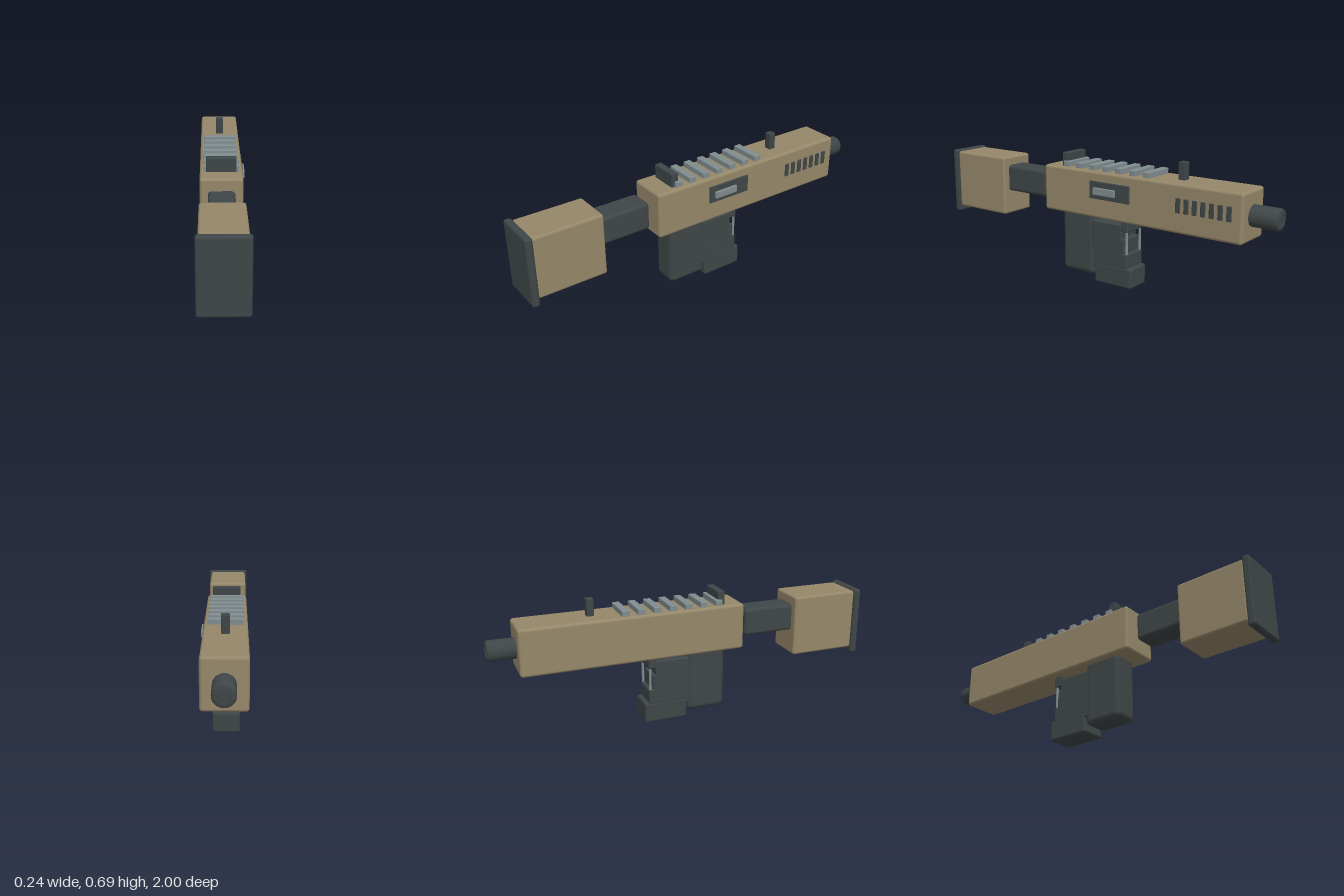
import * as THREE from 'three';
import { RoundedBoxGeometry } from 'three/addons/geometries/RoundedBoxGeometry.js';
import { toCreasedNormals } from 'three/addons/utils/BufferGeometryUtils.js';

const material = (name, color) => {
  const m = new THREE.MeshStandardMaterial({ color });
  m.name = name;
  return m;
};

export function createModel() {
  const model = new THREE.Group();
  model.name = 'toyBlaster';
  const tan = material('tan', 0x958769);
  const dark = material('charcoal', 0x3f4647);
  const grey = material('grey', 0x808c8f);
  const CX = -0.006; // centre line of the body

  const add = (name, geometry, mat, x, y, z) => {
    const mesh = new THREE.Mesh(geometry, mat);
    mesh.name = name;
    mesh.position.set(x, y, z);
    model.add(mesh);
    return mesh;
  };
  // Rounded box given by its width and its y and z limits
  const block = (name, mat, w, y0, y1, z0, z1, r = 0.004, x = CX) =>
    add(name, new RoundedBoxGeometry(w, y1 - y0, z1 - z0, 3, r), mat,
      x, (y0 + y1) / 2, (z0 + z1) / 2);

  // Body, stock and buffer tube
  block('receiver', tan, 0.21, 0.358, 0.6, -0.861, 0.302, 0.015);
  block('stock', tan, 0.21, 0.277, 0.6, 0.603, 0.966, 0.013);
  block('buttPlate', dark, 0.232, 0.246, 0.608, 0.962, 1.0, 0.012);
  block('bufferTube', dark, 0.13, 0.408, 0.553, 0.33, 0.62, 0.018);

  // Barrel with bevelled end
  const profile = [[0.0001, 0], [0.052, 0], [0.052, 0.17], [0.048, 0.177], [0.041, 0.18],
    [0.029, 0.18], [0.028, 0.176], [0.0001, 0.176]];
  const barrel = toCreasedNormals(
    new THREE.LatheGeometry(profile.map(([r, h]) => new THREE.Vector2(r, h)), 32), 0.6);
  add('barrel', barrel, dark, CX, 0.48, -0.82).rotation.x = -Math.PI / 2;

  // Top rail and sights
  for (let i = 0; i < 7; i++) {
    const z = -0.33 + i * 0.083;
    block('railRib', grey, 0.173, 0.59, 0.628, z - 0.019, z + 0.019);
  }
  block('rearSight', dark, 0.147, 0.59, 0.67, 0.166, 0.204);
  block('frontSight', dark, 0.04, 0.59, 0.687, -0.508, -0.47);

  // Ejection port and side vents
  block('portPlate', dark, 0.012, 0.461, 0.551, -0.248, -0.003, 0.003, 0.101);
  block('portCover', grey, 0.018, 0.484, 0.521, -0.167, -0.033, 0.003, 0.11);
  for (let i = 0; i < 7; i++) {
    const z = -0.525 - i * 0.0447;
    block('sideVent', dark, 0.012, 0.461, 0.532, z - 0.0125, z + 0.0125, 0.003, 0.099);
  }

  // Grip
  block('grip', dark, 0.14, 0.032, 0.4, 0.0, 0.214, 0.03);

  // Stepped magazine, wider towards its base
  block('magazineBody', dark, 0.136, 0.08, 0.335, -0.172, 0.014, 0.008);
  block('magazineStep', dark, 0.136, 0.17, 0.262, -0.19, -0.01, 0.01);
  block('magazineStep', dark, 0.138, 0.1, 0.185, -0.21, -0.006, 0.01);
  block('magazineBase', dark, 0.14, 0.002, 0.11, -0.233, -0.002, 0.012);

  // Trigger stub, front block and its two rods
  block('trigger', grey, 0.04, 0.325, 0.365, -0.105, -0.067);
  block('frontBlock', dark, 0.136, 0.298, 0.365, -0.21, -0.168, 0.008);
  for (const side of [-1, 1]) {
    add('guardRod', new THREE.CylinderGeometry(0.007, 0.007, 0.13, 12), grey,
      CX + side * 0.058, 0.238, -0.2);
  }
  return model;
}
